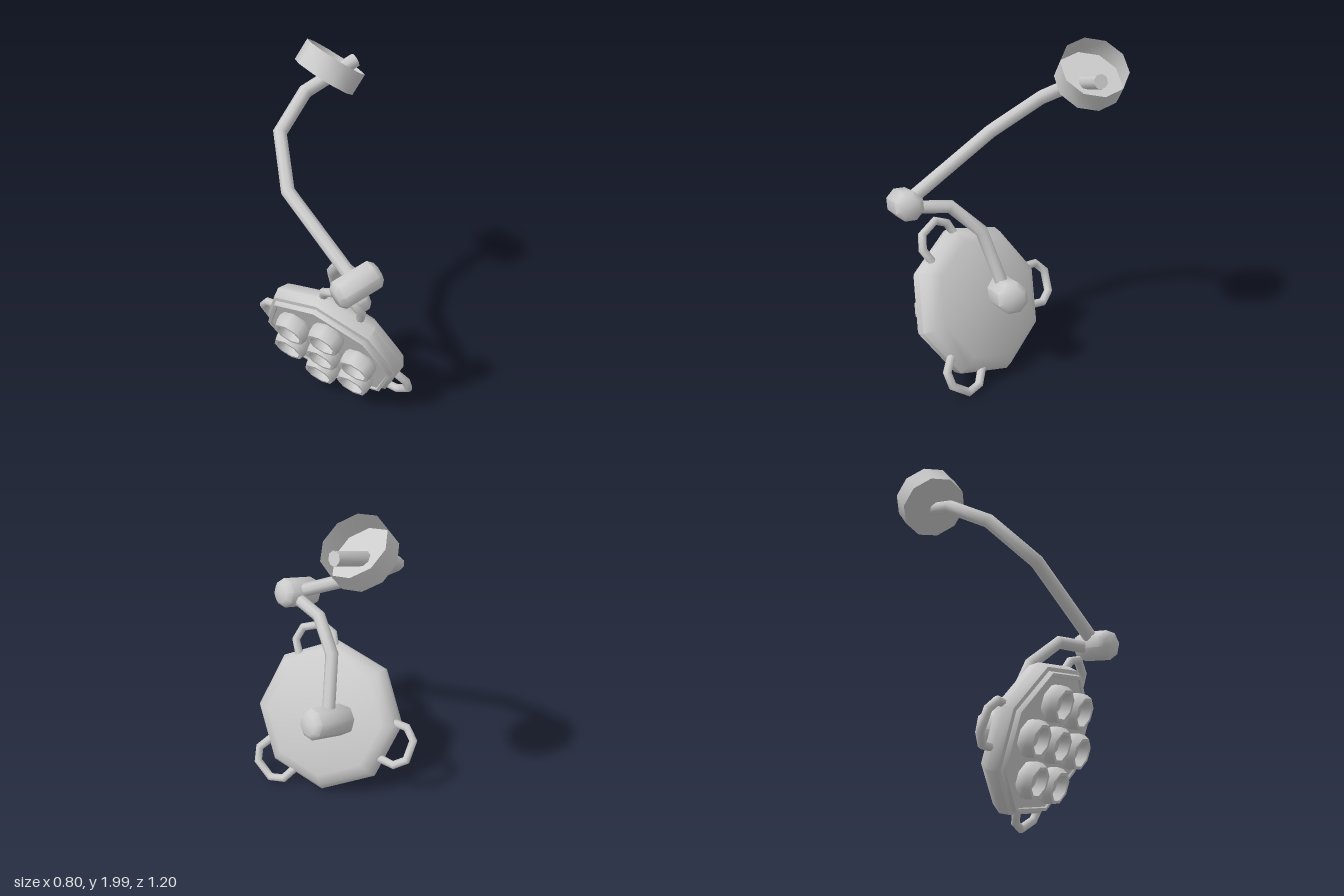
import * as THREE from 'three';
import { toCreasedNormals } from 'three/addons/utils/BufferGeometryUtils.js';

const V = (x, y, z) => new THREE.Vector3(x, y, z);
const grey = new THREE.MeshStandardMaterial({ color: 0xcccccc });
const greyThin = new THREE.MeshStandardMaterial({ color: 0xcccccc, side: THREE.DoubleSide });
const UP = V(0, 1, 0);

function add(parent, name, geometry, material = grey) {
  const mesh = new THREE.Mesh(geometry, material);
  mesh.name = name;
  parent.add(mesh);
  return mesh;
}

// Turned shape around y, given [radius, height] pairs from bottom to top
function turned(profile, sides, phase = 0, crease = 0.9) {
  const pts = profile.map(([r, y]) => new THREE.Vector2(r, y));
  return toCreasedNormals(new THREE.LatheGeometry(pts, sides, phase), crease);
}

// Path with straight runs and mitred bends at its points
class BentPath extends THREE.Curve {
  constructor(points) {
    super();
    this.points = points;
  }
  getPoint(u, target = V()) {
    const n = this.points.length - 1;
    const i = Math.min(Math.floor(u * n + 1e-6), n - 1);
    return target.lerpVectors(this.points[i], this.points[i + 1], u * n - i);
  }
  getPointAt(u, target) {
    return this.getPoint(u, target);
  }
  getTangentAt(u, target = V()) {
    const p = this.points, n = p.length - 1, i = Math.round(u * n);
    target.set(0, 0, 0);
    if (i > 0) target.add(p[i].clone().sub(p[i - 1]).normalize());
    if (i < n) target.add(p[i + 1].clone().sub(p[i]).normalize());
    return target.normalize();
  }
}

const bentTube = (points, radius) =>
  new THREE.TubeGeometry(new BentPath(points), points.length - 1, radius, 8);

// Cylinder with chamfered ends, lying along a direction
function joint(parent, name, center, direction, length, radius) {
  const h = length / 2, c = 0.03;
  const mesh = add(parent, name, turned([
    [0, -h], [radius - c, -h], [radius, c - h], [radius, h - c], [radius - c, h], [0, h],
  ], 8, Math.PI / 8));
  mesh.position.copy(center);
  mesh.quaternion.setFromUnitVectors(UP, direction);
}

// Lamp head, built around y with the lights facing +y
function lampHead() {
  const head = new THREE.Group();
  head.name = 'lampHead';
  const polar = (angle, r, t) => V(r * Math.sin(angle), t, r * Math.cos(angle));
  const rad = THREE.MathUtils.degToRad;

  // Octagonal housing with a chamfered back and a slim front lip
  add(head, 'housing', turned([
    [0, -0.092], [0.355, -0.092], [0.415, -0.06], [0.45, 0], [0.44, 0.06],
    [0.418, 0.067], [0.414, 0.096], [0.394, 0.096], [0.39, 0.086], [0, 0.086],
  ], 8, rad(-9)));

  // One central light and six around it
  const lightShape = turned([
    [0.09, 0.08], [0.107, 0.11], [0.107, 0.145], [0.094, 0.178],
    [0.076, 0.178], [0.066, 0.12], [0, 0.12],
  ], 8, rad(-9));
  for (let i = 0; i < 7; i++) {
    const light = add(head, 'light', lightShape);
    if (i > 0) light.position.copy(polar(rad(21 + 60 * i), 0.245, 0));
  }

  // Three grab handles on the rim
  const handleShape = bentTube([
    V(-0.115, -0.018, 0.37), V(-0.12, -0.018, 0.475), V(-0.062, -0.018, 0.538),
    V(0.062, -0.018, 0.538), V(0.12, -0.018, 0.475), V(0.115, -0.018, 0.37),
  ], 0.025);
  for (let i = 0; i < 3; i++) {
    add(head, 'handle', handleShape).rotation.y = rad(20 + 120 * i);
  }
  return head;
}

export function createModel() {
  const model = new THREE.Group();
  model.name = 'ceilingOperatingLamp';

  // Tilted head
  const facing = V(-0.8, -0.435, 0.41).normalize();
  const across = V(0, 0.686, 0.728).normalize();
  const side = facing.clone().cross(across).normalize();
  const head = lampHead();
  head.quaternion.setFromRotationMatrix(new THREE.Matrix4().makeBasis(side, facing, across));
  head.position.set(-0.057, 0.431, 0.131);
  model.add(head);

  // Pivots share one axis
  const axis = V(0.955, 0.296, 0).normalize();
  joint(model, 'headPivot', V(0.062, 0.507, 0.003), axis, 0.31, 0.094);
  joint(model, 'elbow', V(-0.148, 1.065, 0.523), axis, 0.268, 0.086);

  // Arms
  add(model, 'lowerArm', bentTube([
    V(0.055, 0.52, 0.005), V(-0.06, 0.87, 0.107), V(-0.105, 1.03, 0.275), V(-0.11, 1.06, 0.5),
  ], 0.038));
  const stemEnd = V(0.36, 1.85, -0.408);
  add(model, 'upperArm', bentTube([
    V(-0.15, 1.075, 0.51), V(-0.268, 1.38, -0.02), V(-0.175, 1.585, -0.29),
    V(0.04, 1.733, -0.402), stemEnd,
  ], 0.04));
  const cap = add(model, 'stemCap', new THREE.CircleGeometry(0.04, 8));
  cap.position.copy(stemEnd);
  cap.quaternion.setFromUnitVectors(V(0, 0, 1), axis);

  // Open ceiling cup around the stem
  const cup = add(model, 'ceilingCup',
    turned([[0, 0], [0.188, 0], [0.188, 0.132]], 10, Math.PI / 10, 0.8), greyThin);
  cup.position.set(0.166, 1.783, -0.422);
  cup.quaternion.setFromUnitVectors(UP, V(0.6, 0.8, 0));

  return model;
}
